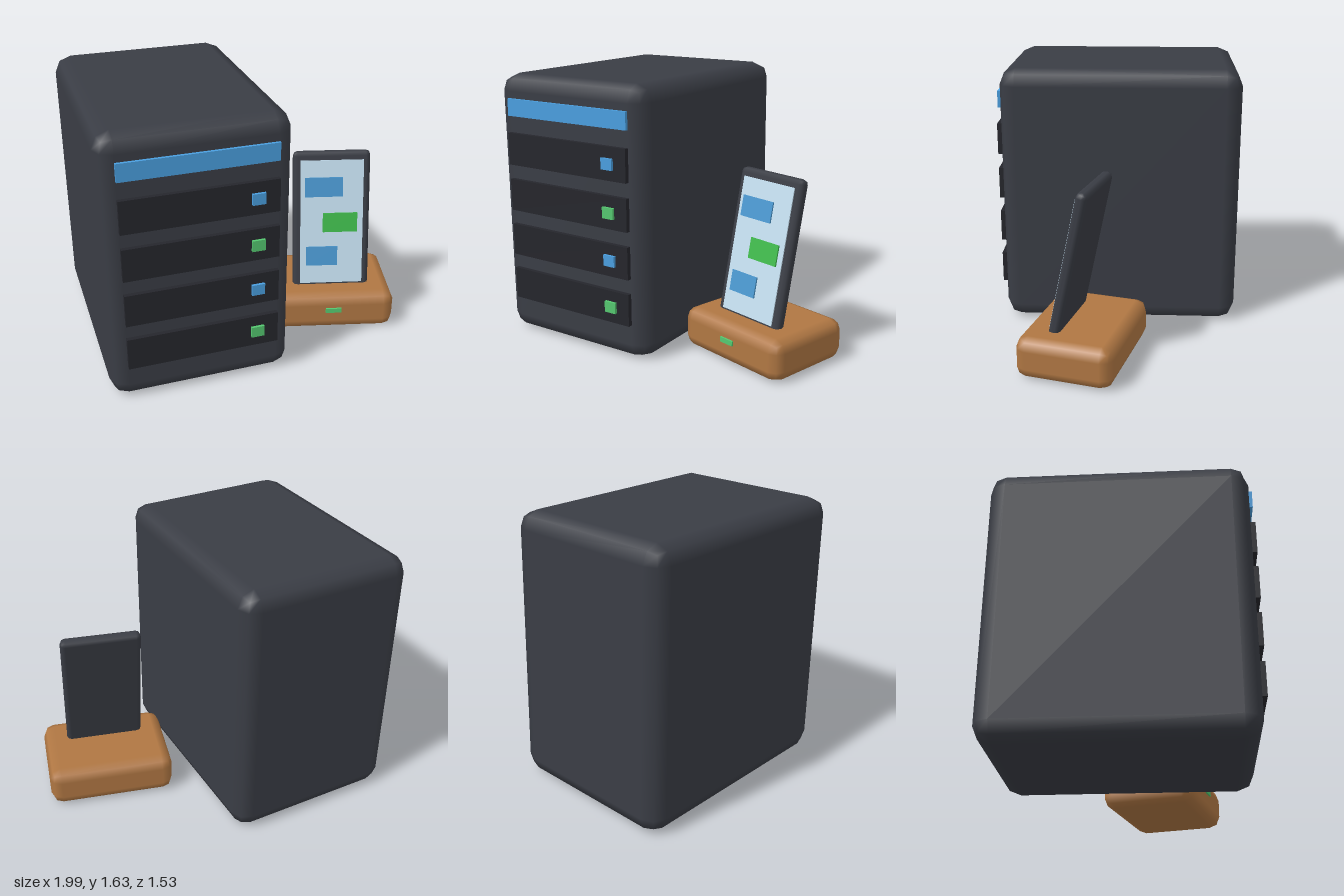
import * as THREE from 'three';
import { RoundedBoxGeometry } from 'three/addons/geometries/RoundedBoxGeometry.js';

const mat = (color) => new THREE.MeshStandardMaterial({ color });
const shell = mat(0x3a3d45), dark = mat(0x25262c), blue = mat(0x4a9fe0), green = mat(0x55c870);
const wood = mat(0xb07743), glass = mat(0xc4dff0), appBlue = mat(0x4a98d0), appGreen = mat(0x3fba4c);

function add(parent, name, geometry, material, x, y, z) {
  const mesh = new THREE.Mesh(geometry, material);
  mesh.name = name;
  mesh.position.set(x, y, z);
  parent.add(mesh);
  return mesh;
}
const box = (w, h, d) => new THREE.BoxGeometry(w, h, d);
// one bevel step per side, smooth normals
const rounded = (w, h, d, r) => new RoundedBoxGeometry(w, h, d, 1, r);

// Storage tower with a light strip and four drive bays
function createTower() {
  const tower = new THREE.Group();
  tower.name = 'storageTower';
  add(tower, 'towerCase', rounded(1.085, 1.635, 1.485, 0.1), shell, 0, 0.8175, -0.02);
  add(tower, 'lightStrip', box(0.89, 0.105, 0.04), blue, 0, 1.44, 0.72);
  for (let i = 0; i < 4; i++) {
    const y = 1.187 - i * 0.287;
    add(tower, 'driveBay', box(0.89, 0.197, 0.05), dark, 0, y, 0.724);
    add(tower, 'bayLight', box(0.077, 0.067, 0.03), i % 2 ? green : blue, 0.319, y, 0.75);
  }
  tower.position.x = -0.457;
  return tower;
}

// Phone with a screen and three app tiles, centred on its own body
function createPhone() {
  const phone = new THREE.Group();
  phone.name = 'phone';
  add(phone, 'phoneBody', rounded(0.49, 0.92, 0.07, 0.03), shell, 0, 0, 0);
  add(phone, 'screen', box(0.4, 0.81, 0.012), glass, 0, 0, 0.035);
  const tiles = [[-0.052, 0.233, 0.24, appBlue], [0.053, 0, 0.22, appGreen], [-0.062, -0.222, 0.2, appBlue]];
  for (const [x, y, w, material] of tiles) {
    add(phone, 'appTile', box(w, 0.125, 0.012), material, x, y, 0.044);
  }
  return phone;
}

// Wooden charging dock holding the phone, turned toward the tower
function createDock() {
  const dock = new THREE.Group();
  dock.name = 'chargingDock';
  add(dock, 'dockBase', rounded(0.786, 0.25, 0.587, 0.07), wood, 0, 0.125, 0);
  add(dock, 'dockLight', box(0.1, 0.03, 0.03), green, 0, 0.15, 0.29);
  const phone = createPhone();
  phone.position.set(0, 0.649, 0.015);
  phone.rotation.x = -THREE.MathUtils.degToRad(12);
  dock.add(phone);
  dock.position.set(0.558, 0, 0.174);
  dock.rotation.y = -THREE.MathUtils.degToRad(15);
  return dock;
}

export function createModel() {
  const model = new THREE.Group();
  model.name = 'storageTowerAndPhoneDock';
  model.add(createTower(), createDock());
  return model;
}
